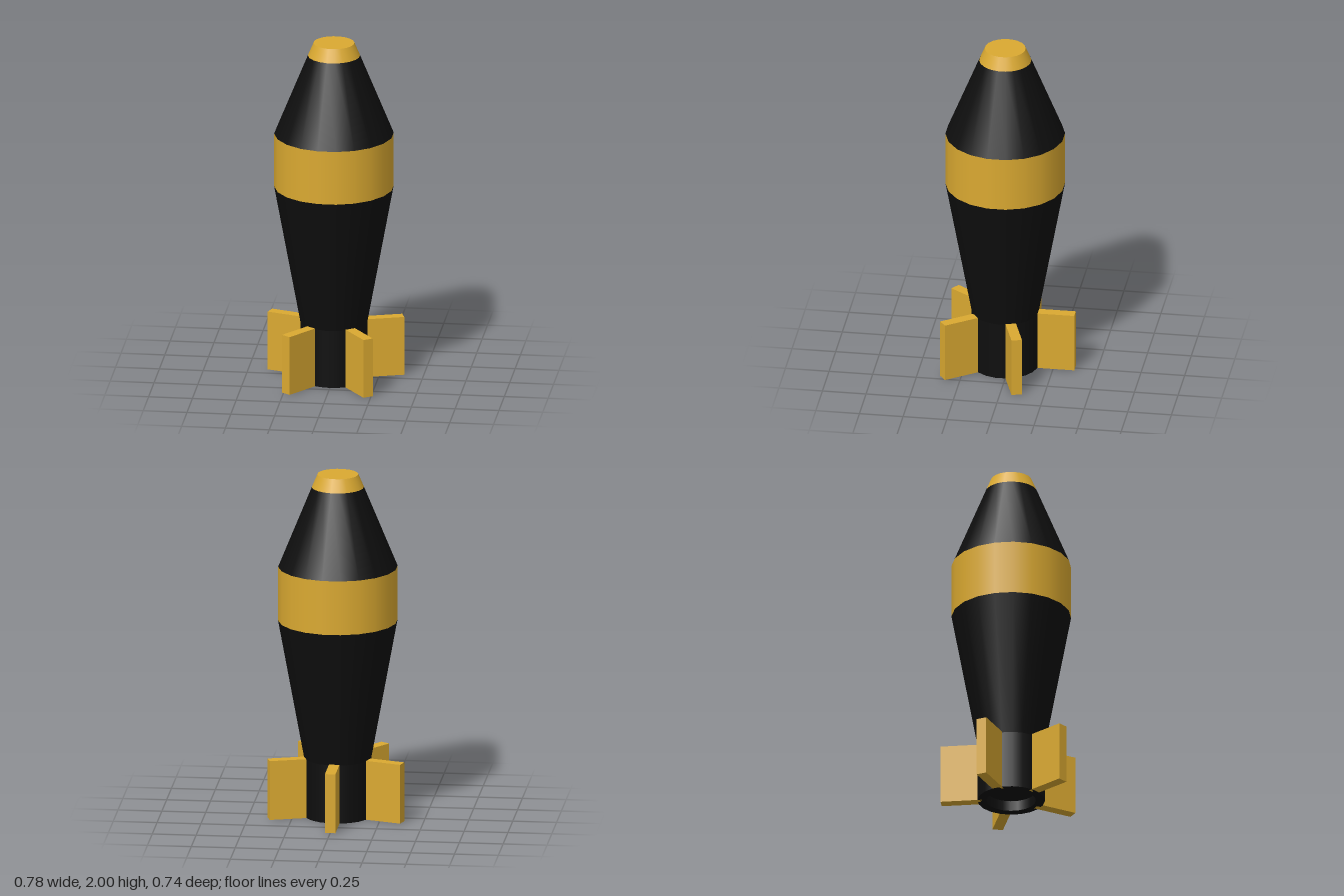
import * as THREE from 'three';

const SIDES = 20;

export function createModel() {
  const model = new THREE.Group();
  model.name = 'mortarShell';
  const black = new THREE.MeshStandardMaterial({ color: 0x0e0e0e });
  black.name = 'black';
  const gold = new THREE.MeshStandardMaterial({ color: 0xdaa931 });
  gold.name = 'gold';

  // The shell's axis sits slightly forward of the centre of the bounds
  const shell = new THREE.Group();
  shell.name = 'shell';
  shell.position.z = 0.028;
  model.add(shell);

  // One straight profile step turned round the axis, so rims stay sharp
  function ring(name, r0, y0, r1, y1, material) {
    const profile = [new THREE.Vector2(r0, y0), new THREE.Vector2(r1, y1)];
    const mesh = new THREE.Mesh(new THREE.LatheGeometry(profile, SIDES, Math.PI / SIDES), material);
    mesh.name = name;
    shell.add(mesh);
  }

  // Hollow tail tube
  ring('tailRecessFloor', 0, 0.06, 0.14, 0.06, black);
  ring('tailRecessWall', 0.14, 0.06, 0.14, 0, black);
  ring('tailRim', 0.14, 0, 0.191, 0, black);
  ring('tailTube', 0.191, 0, 0.191, 0.34, black);

  // Body, band and nose
  ring('lowerBody', 0.191, 0.34, 0.339, 1.145, black);
  ring('band', 0.339, 1.145, 0.339, 1.46, gold);
  ring('upperBody', 0.339, 1.46, 0.148, 1.925, black);
  ring('noseCap', 0.148, 1.925, 0.116, 2, gold);
  ring('noseTop', 0.116, 2, 0, 2, gold);

  // Five radial fins, the first pointing straight back
  const inner = 0.165, outer = 0.4, height = 0.345;
  const finGeometry = new THREE.BoxGeometry(0.06, height, outer - inner);
  finGeometry.translate(0, height / 2, -(inner + outer) / 2);
  for (let i = 0; i < 5; i++) {
    const fin = new THREE.Mesh(finGeometry, gold);
    fin.name = 'fin' + (i + 1);
    fin.rotation.y = (i * Math.PI * 2) / 5;
    shell.add(fin);
  }

  return model;
}
